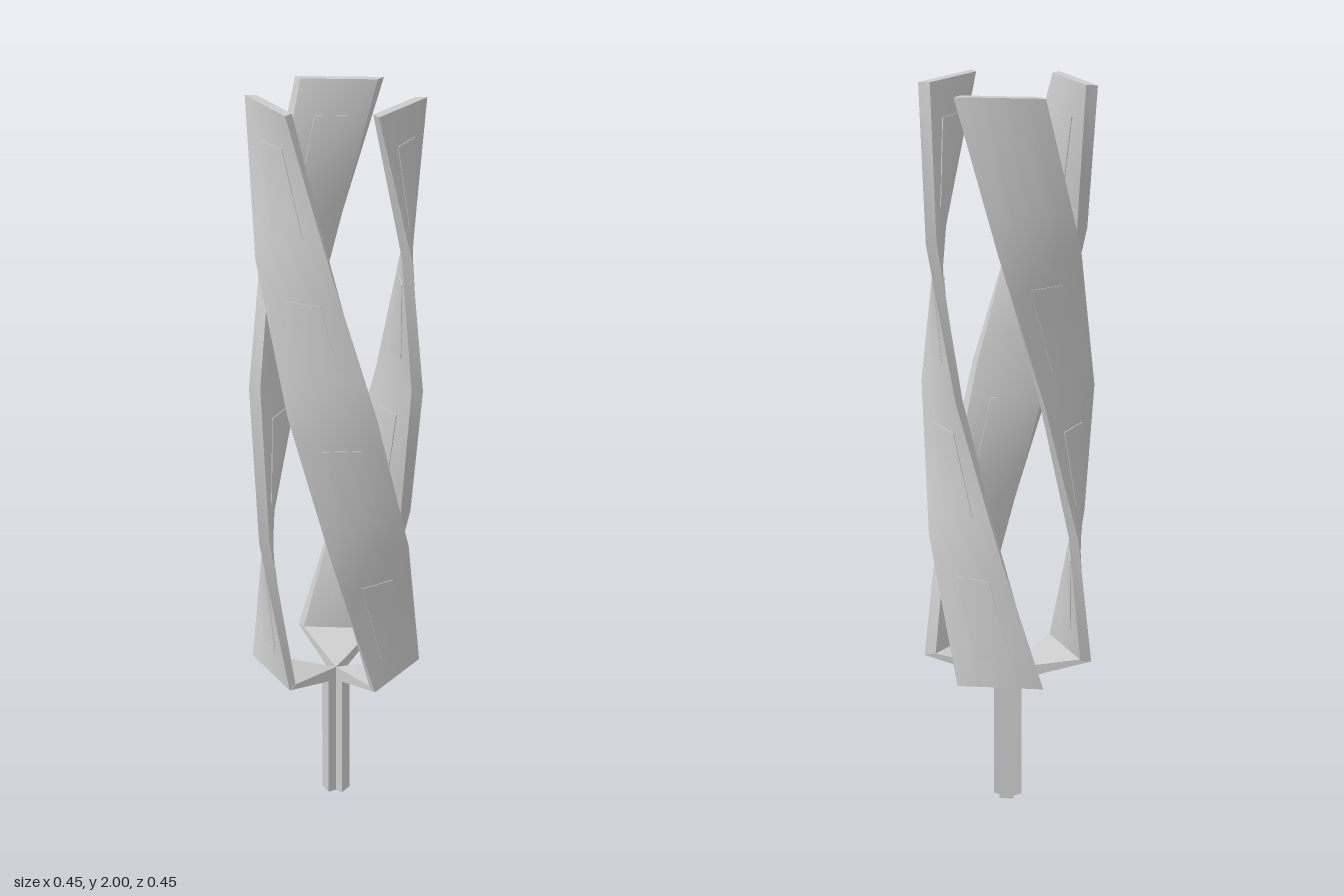
import * as THREE from 'three';

const R = 0.229;            // outer corner radius
const INNER = 0.87;         // inner wall as a share of the outer radius
const BASE = 0.42, TOP = 2; // blade height range
const STEPS = 4;            // straight twist segments, 30 degrees each
const START = THREE.MathUtils.degToRad(18.8);
const lerp = THREE.MathUtils.lerp;
const material = new THREE.MeshStandardMaterial({ color: 0xcccccc });

// Box whose three unit axes (u across, s outward, t upward) are mapped by a rule
function mappedBox(name, rule, nu = 1, nt = 1) {
  const geo = new THREE.BoxGeometry(1, 1, 1, nu, 1, nt);
  const pos = geo.attributes.position;
  for (let i = 0; i < pos.count; i++) {
    const p = rule(pos.getX(i) + 0.5, pos.getY(i) + 0.5, pos.getZ(i) + 0.5);
    pos.setXYZ(i, p.x, p.y, p.z);
  }
  geo.computeVertexNormals();
  const mesh = new THREE.Mesh(geo, material);
  mesh.name = name;
  return mesh;
}

// Point on the 60 degree chord, turned by an angle, at radius r
function chord(u, angle, r, y) {
  const a = START + angle, b = a + Math.PI / 3;
  return new THREE.Vector3(
    r * lerp(Math.cos(a), Math.cos(b), u), y,
    r * lerp(Math.sin(a), Math.sin(b), u));
}

// Point in the twisted blade: straight between the twist steps
function bladePoint(u, s, t) {
  const k = Math.min(STEPS - 1, Math.floor(t * STEPS + 1e-6));
  const r = R * lerp(INNER, 1, s), y = lerp(BASE, TOP, t);
  const low = chord(u, k * Math.PI / 6, r, y);
  const high = chord(u, (k + 1) * Math.PI / 6, r, y);
  return low.lerp(high, t * STEPS - k);
}

function createArm() {
  const arm = new THREE.Group();
  arm.name = 'bladeAssembly';

  // Twisted blade
  arm.add(mappedBox('blade', bladePoint, 4, STEPS * 4));

  // Shallow panels, one per twist step, just proud of both faces
  for (let k = 0; k < STEPS; k++) {
    arm.add(mappedBox('bladePanel', (u, s, t) => bladePoint(
      lerp(0.28, 0.72, u), lerp(-0.1, 1.1, s), (k + lerp(0.2, 0.76, t)) / STEPS), 2, 4));
  }

  // Triangular bracket rising from the shaft to the blade foot
  arm.add(mappedBox('bracket', (u, s, t) => chord(
    u, 0, lerp(0.0005, lerp(R, R * INNER, t), s),
    lerp(lerp(0.35, 0.39, t), lerp(BASE, BASE + 0.005, t), s))));

  // Wedge-shaped prong of the shaft
  arm.add(mappedBox('shaftProng', (u, s, t) => chord(
    u, 0, lerp(0.0005, 0.038, s), lerp(0.012 * s, 0.37, t))));
  return arm;
}

export function createModel() {
  const model = new THREE.Group();
  model.name = 'twistedBladeTool';
  for (let i = 0; i < 3; i++) {
    const arm = createArm();
    arm.rotation.y = i * Math.PI * 2 / 3;
    model.add(arm);
  }
  return model;
}
